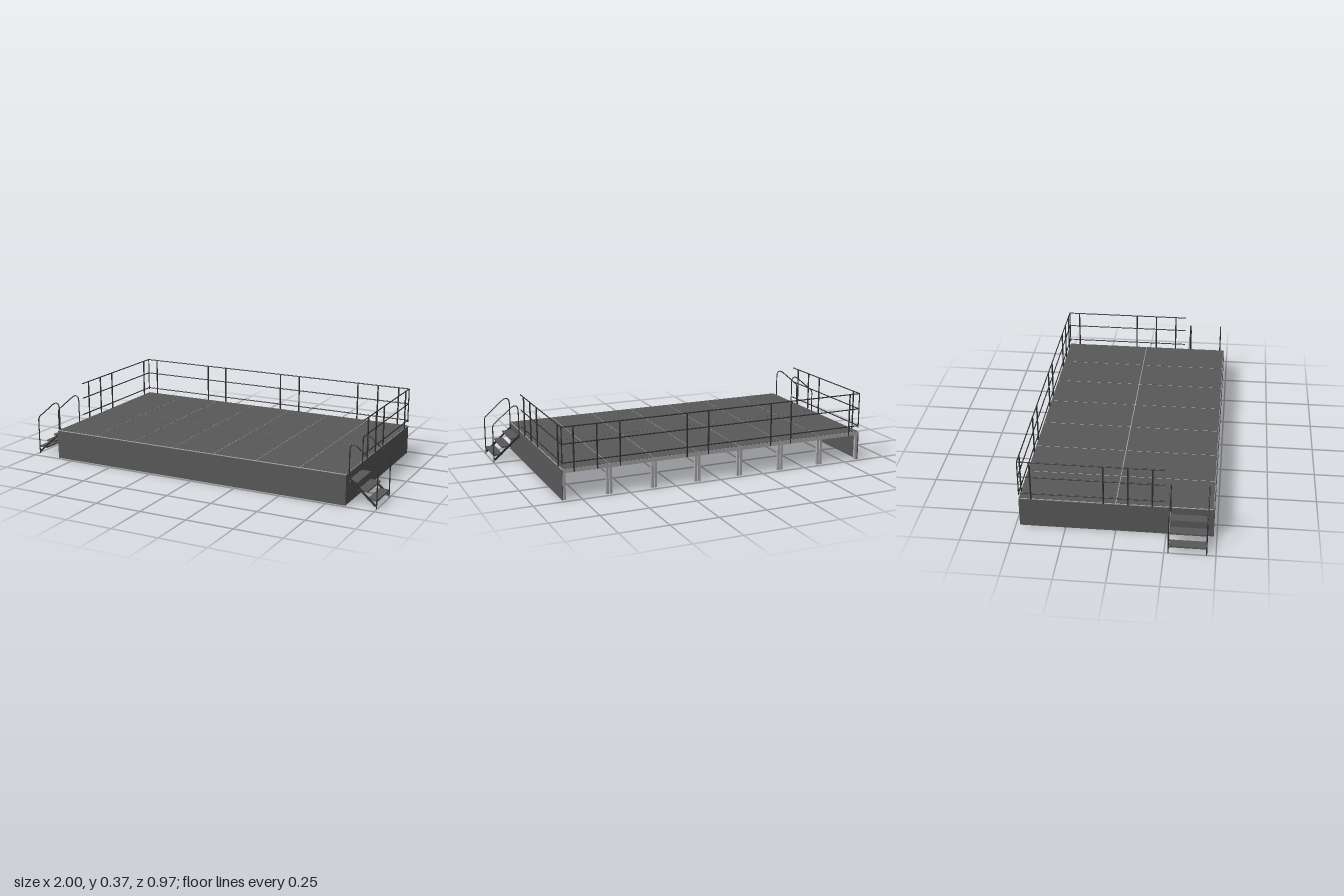
import * as THREE from 'three';

const mat = (name, color) => {
  const m = new THREE.MeshStandardMaterial({ color });
  m.name = name;
  return m;
};

export function createModel() {
  const model = new THREE.Group();
  model.name = 'stagePlatform';
  const board = mat('charcoal board', 0x585858);
  const metal = mat('light frame metal', 0xb0b0b0);
  const rail = mat('dark rail metal', 0x333333);

  const box = (parent, name, m, x0, x1, y0, y1, z0, z1) => {
    const g = new THREE.BoxGeometry(Math.abs(x1 - x0), y1 - y0, z1 - z0);
    const mesh = new THREE.Mesh(g, m);
    mesh.position.set((x0 + x1) / 2, (y0 + y1) / 2, (z0 + z1) / 2);
    mesh.name = name;
    parent.add(mesh);
    return mesh;
  };

  // straight round bar between two points
  const bar = (parent, name, a, b, r) => {
    const p = new THREE.Vector3(...a), q = new THREE.Vector3(...b);
    const d = q.clone().sub(p);
    const mesh = new THREE.Mesh(new THREE.CylinderGeometry(r, r, d.length(), 10), rail);
    mesh.position.copy(p).add(q).multiplyScalar(0.5);
    mesh.quaternion.setFromUnitVectors(new THREE.Vector3(0, 1, 0), d.normalize());
    mesh.name = name;
    parent.add(mesh);
  };

  const HX = 0.843, HZ = 0.48, TOP = 0.16;
  const PW = (2 * HX) / 7, PD = HZ;

  // deck modules: board, rim frame and four legs each
  for (let i = 0; i < 7; i++) {
    for (let j = 0; j < 2; j++) {
      const panel = new THREE.Group();
      panel.name = 'deckModule';
      const x0 = -HX + i * PW, x1 = x0 + PW, z0 = -HZ + j * PD, z1 = z0 + PD;
      const e = 0.002, t = 0.009, y0 = 0.138, y1 = TOP - 0.001;
      box(panel, 'deckBoard', board, x0 + e, x1 - e, 0.15, TOP, z0 + e, z1 - e);
      box(panel, 'frameBack', metal, x0, x1, y0, y1, z0, z0 + t);
      box(panel, 'frameFront', metal, x0, x1, y0, y1, z1 - t, z1);
      box(panel, 'frameSide', metal, x0, x0 + t, y0, y1, z0 + t, z1 - t);
      box(panel, 'frameSide', metal, x1 - t, x1, y0, y1, z0 + t, z1 - t);
      for (const lx of [x0 + 0.009, x1 - 0.009])
        for (const lz of [z0 + 0.009, z1 - 0.009])
          box(panel, 'leg', metal, lx - 0.0065, lx + 0.0065, 0, 0.145, lz - 0.0065, lz + 0.0065);
      model.add(panel);
    }
  }

  // skirt on the front and both sides, back left open
  box(model, 'frontSkirt', board, -HX - 0.004, HX + 0.004, 0, 0.155, HZ, HZ + 0.004);
  for (const s of [-1, 1])
    box(model, 'sideSkirt', board, s * HX, s * (HX + 0.004), 0, 0.155, -HZ, HZ);

  // guard rails in sections, posts inset from the section ends
  const heights = [0.19, 0.285, 0.37], R = 0.003;
  const guard = new THREE.Group();
  guard.name = 'guardRail';
  const RX = HX, RZ = -HZ + 0.002;
  const railSection = (at, u0, u1) => {
    for (const y of heights) bar(guard, 'railBar', at(u0, y), at(u1, y), R);
    for (const u of [u0 + 0.06, u1 - 0.06]) {
      bar(guard, 'railPost', at(u, 0.14), at(u, heights[2]), 0.004);
    }
  };
  const backAt = (u, y) => [u, y, RZ];
  [-HX, -HX + 2 * PW, -HX + 4 * PW, -HX + 6 * PW].forEach((u, i) =>
    railSection(backAt, u, u + (i < 3 ? 2 : 1) * PW));
  for (const s of [-1, 1]) {
    const sideAt = (u, y) => [s * RX, y, u];
    railSection(sideAt, RZ, 0);
    railSection(sideAt, 0, 0.24);
    bar(guard, 'cornerPost', [s * RX, 0.18, RZ], [s * RX, heights[2], RZ], R);
  }
  model.add(guard);

  // stairs at both sides near the front
  for (const s of [-1, 1]) {
    const stairs = new THREE.Group();
    stairs.name = s > 0 ? 'leftStairs' : 'rightStairs';
    for (let k = 0; k < 3; k++) {
      const x = 0.849 + k * 0.049, y = 0.122 - k * 0.04;
      box(stairs, 'tread', board, s * x, s * (x + 0.051), y - 0.008, y, 0.274, 0.451);
    }
    for (const z of [0.27, 0.455]) {
      // sloping stringer
      const str = box(stairs, 'stringer', rail, -0.095, 0.095, -0.005, 0.005, z - 0.0025, z + 0.0025);
      str.position.set(s * 0.921, 0.074, z);
      str.rotation.z = -s * 0.72;
      // bent handrail
      const v = (x, y) => new THREE.Vector3(s * x, y, z);
      const path = new THREE.CurvePath();
      path.add(new THREE.LineCurve3(v(0.996, 0), v(0.996, 0.19)));
      path.add(new THREE.QuadraticBezierCurve3(v(0.996, 0.19), v(0.996, 0.207), v(0.984, 0.217)));
      path.add(new THREE.LineCurve3(v(0.984, 0.217), v(0.897, 0.291)));
      path.add(new THREE.CubicBezierCurve3(v(0.897, 0.291), v(0.872, 0.312), v(0.852, 0.308), v(0.851, 0.275)));
      path.add(new THREE.LineCurve3(v(0.851, 0.275), v(0.851, 0.125)));
      const tube = new THREE.Mesh(new THREE.TubeGeometry(path, 80, 0.003, 8), rail);
      tube.name = 'handrail';
      stairs.add(tube);
    }
    model.add(stairs);
  }
  return model;
}
